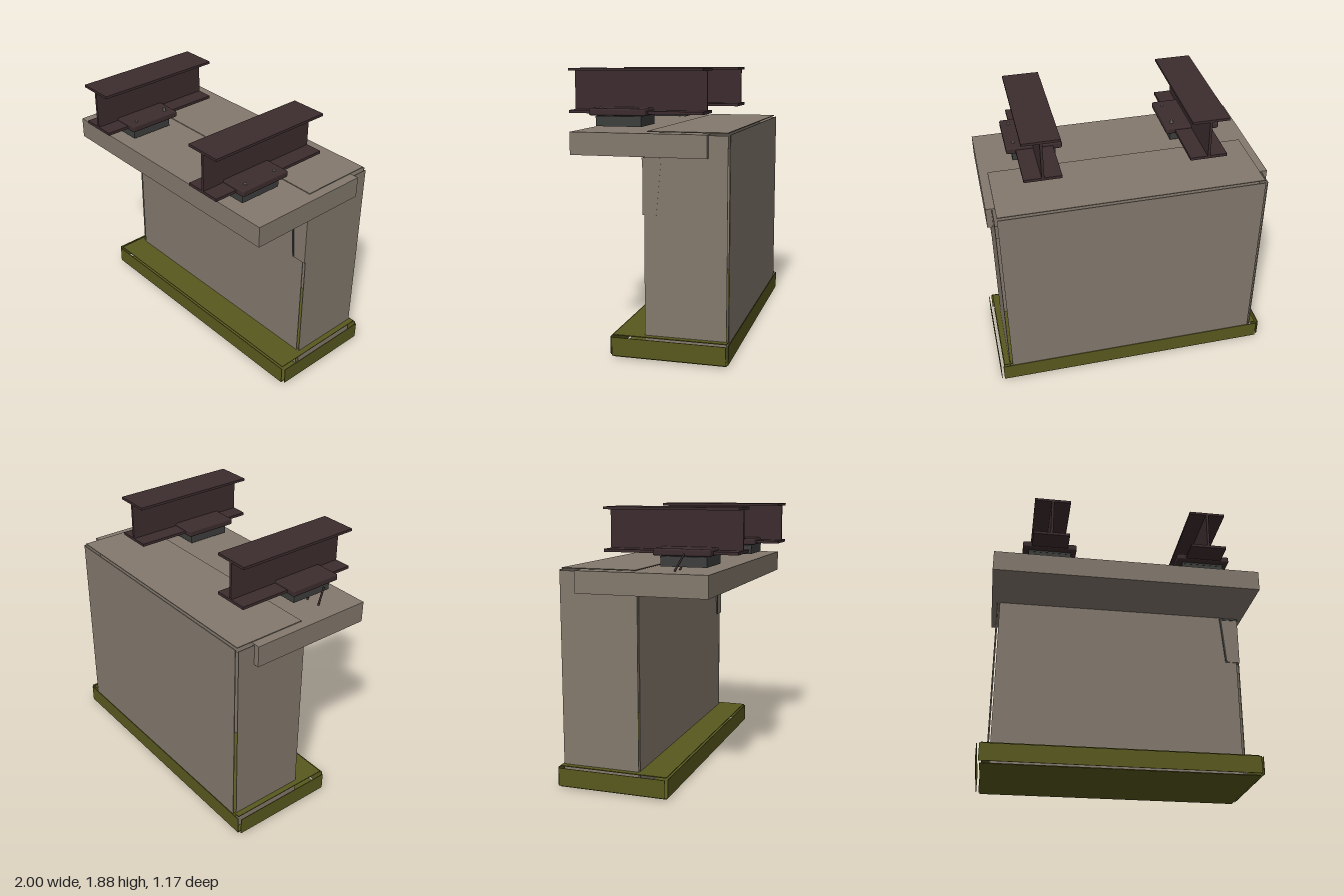
import * as THREE from 'three';
import { RoundedBoxGeometry } from 'three/addons/geometries/RoundedBoxGeometry.js';

const paint = (name, color) => {
  const m = new THREE.MeshStandardMaterial({ color });
  m.name = name;
  return m;
};

export function createModel() {
  const concrete = paint('concrete', 0x83796d);
  const olive = paint('olive footing', 0x58581f);
  const steel = paint('brown steel', 0x3c2c2e);
  const rubber = paint('dark grey', 0x3c3e3c);
  const bolt = paint('bolt grey', 0x6c6a68);

  const model = new THREE.Group();
  model.name = 'bridgeAbutment';

  const add = (name, geometry, material, parent = model) => {
    const mesh = new THREE.Mesh(geometry, material);
    mesh.name = name;
    parent.add(mesh);
    return mesh;
  };
  // Box given by its limits on each axis
  const block = (name, material, x0, x1, y0, y1, z0, z1, parent = model) => {
    const mesh = add(name, new THREE.BoxGeometry(x1 - x0, y1 - y0, z1 - z0), material, parent);
    mesh.position.set((x0 + x1) / 2, (y0 + y1) / 2, (z0 + z1) / 2);
    return mesh;
  };
  // Thin rod between two points
  const rod = (name, material, a, b, r) => {
    const from = new THREE.Vector3(...a), dir = new THREE.Vector3(...b).sub(from);
    const mesh = add(name, new THREE.CylinderGeometry(r, r, dir.length(), 8), material);
    mesh.position.copy(from).addScaledVector(dir, 0.5);
    mesh.quaternion.setFromUnitVectors(new THREE.Vector3(0, 1, 0), dir.normalize());
    return mesh;
  };

  // Footing: separate panels with open corners
  block('footingFront', olive, -0.98, 0.98, 0.025, 0.15, 0.203, 0.208);
  block('footingBack', olive, -0.98, 0.98, 0.025, 0.15, -0.583, -0.578);
  block('footingTop', olive, -0.97, 0.97, 0.154, 0.16, -0.57, 0.193);
  block('footingBottom', olive, -0.97, 0.97, 0.01, 0.016, -0.57, 0.193);
  for (const s of [-1, 1]) {
    const side = block('footingSide', olive, -0.0025, 0.0025, 0.025, 0.15, -0.57, 0.193);
    side.position.x = s * 0.9975;
  }

  // Wall: separate panels with open corners
  block('wallFront', concrete, -0.91, 0.91, 0.025, 1.485, -0.016, -0.01);
  block('wallBack', concrete, -0.91, 0.91, 0.025, 1.485, -0.571, -0.565);
  block('wallTop', concrete, -0.91, 0.91, 1.492, 1.498, -0.555, -0.03);
  for (const s of [-1, 1]) {
    const side = block('wallSide', concrete, -0.0025, 0.0025, 0.025, 1.48, -0.56, -0.015);
    side.position.x = s * 0.9285;
  }

  // Cap shelf carrying the bearings
  block('capShelf', concrete, -0.97, 0.97, 1.338, 1.487, -0.435, 0.473);

  // Tapered bracket under one front corner of the cap
  const bracketGeo = new THREE.BoxGeometry(1, 1, 1);
  const p = bracketGeo.attributes.position;
  for (let i = 0; i < p.count; i++) {
    const top = p.getY(i) > 0;
    const x = p.getX(i) > 0 ? 0.932 : top ? 0.79 : 0.822;
    const z = p.getZ(i) > 0 ? -0.004 : top ? -0.13 : -0.095;
    p.setXYZ(i, x, top ? 1.33 : 0.96, z);
  }
  bracketGeo.computeVertexNormals();
  add('cornerBracket', bracketGeo, concrete);
  const edge = block('bracketEdge', rubber, 0.806, 0.82, 0.965, 1.325, -0.008, 0);
  edge.position.x = 0.813;
  edge.rotation.z = 0.085;
  block('bracketTopEdge', rubber, 0.79, 0.93, 1.318, 1.33, -0.008, 0);

  // Steel beams on bearings
  for (const [s, x] of [[-1, -0.572], [1, 0.57]]) {
    const beam = new THREE.Group();
    beam.name = s < 0 ? 'rightBeam' : 'leftBeam';
    beam.position.x = x;
    model.add(beam);
    block('topFlange', steel, -0.13, 0.13, 1.872, 1.89, -0.343, 0.588, beam);
    block('web', steel, -0.009, 0.009, 1.608, 1.872, -0.343, 0.588, beam);
    block('bottomFlange', steel, -0.13, 0.13, 1.59, 1.61, -0.343, 0.588, beam);
    const plate = add('bearingPlate', new RoundedBoxGeometry(0.39, 0.048, 0.394, 2, 0.012), steel, beam);
    plate.position.set(0, 1.604, 0.225);
    block('bearingPadUpper', rubber, -0.155, 0.155, 1.562, 1.575, 0.068, 0.388, beam);
    block('bearingPad', rubber, -0.152, 0.152, 1.507, 1.562, 0.07, 0.386, beam);
    // Anchor bolts beside the flange
    for (const z of [0.1, 0.352]) {
      const height = s < 0 && z < 0.2 ? 0.03 : 0.008;
      const b = add('anchorBolt', new THREE.CylinderGeometry(0.011, 0.011, height, 12), bolt, beam);
      b.position.set(0.137, 1.626 + height / 2, z);
    }
  }

  // Loose bars beside one bearing
  rod('looseBar', steel, [-0.822, 1.488, 0.2], [-0.803, 1.6, 0.26], 0.007);
  rod('shortBar', steel, [-0.717, 1.485, 0.2], [-0.712, 1.51, 0.21], 0.007);

  return model;
}
